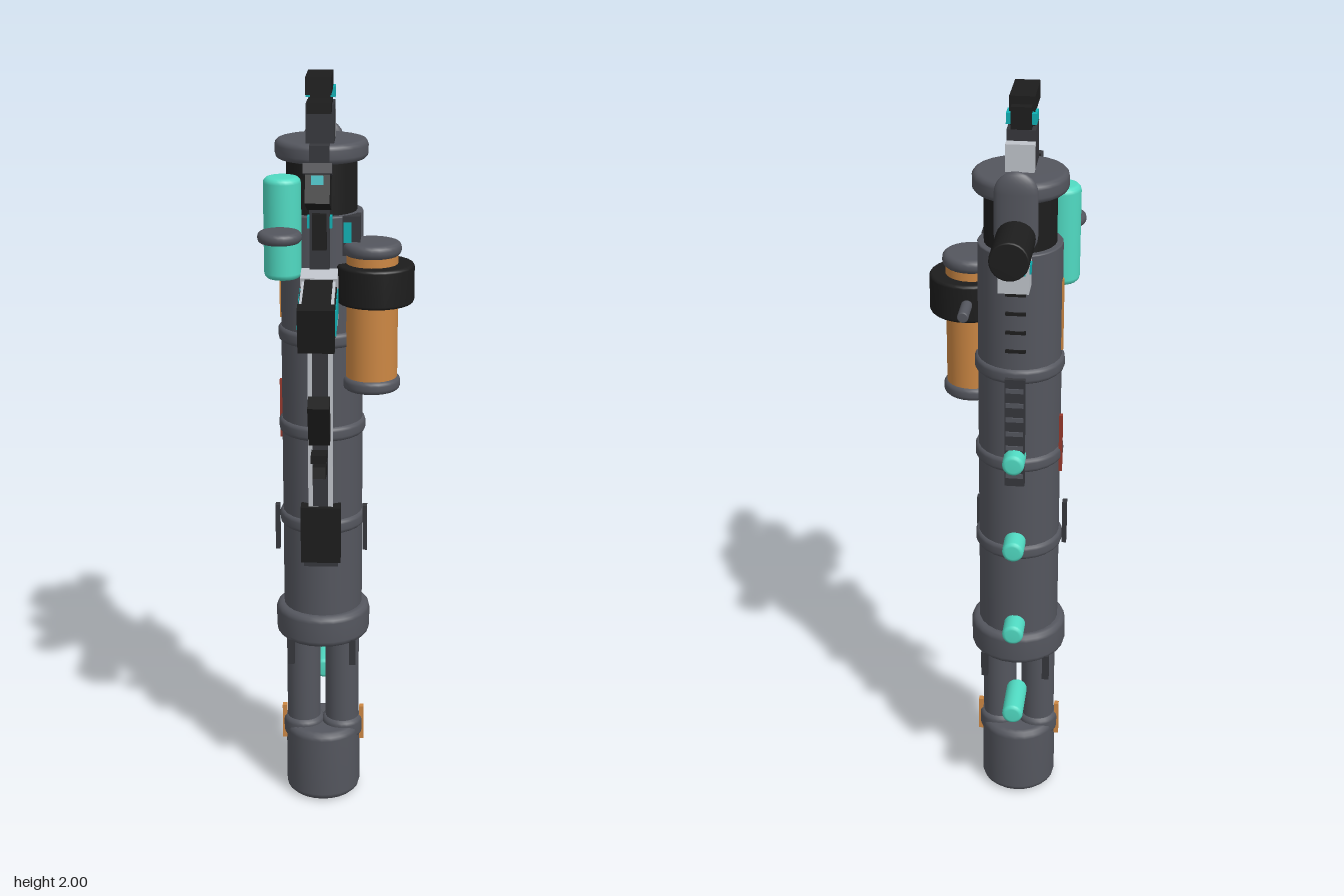
import * as THREE from 'three';

const mat = (name, color, side = THREE.FrontSide) => {
  const m = new THREE.MeshStandardMaterial({ color, side });
  m.name = name;
  return m;
};

export function createModel() {
  const grey = mat('steel grey', 0x54565e);
  const dark = mat('dark grey', 0x36373c);
  const black = mat('black', 0x1d1d1d);
  const light = mat('light grey', 0xbfc3ca);
  const teal = mat('teal', 0x50dac2);
  const cyan = mat('cyan', 0x0fb0b4);
  const orange = mat('orange', 0xcc8743);
  const red = mat('red', 0x96382c);

  const root = new THREE.Group();
  const CX = -0.048, CZ = -0.04; // axis of the main tube

  const add = (name, geo, m, x, y, z, rx = 0, parent = root) => {
    const mesh = new THREE.Mesh(geo, m);
    mesh.name = name;
    mesh.position.set(x, y, z);
    mesh.rotation.x = rx;
    parent.add(mesh);
    return mesh;
  };
  const box = (name, m, x, y, z, w, h, d, rx = 0, parent = root) =>
    add(name, new THREE.BoxGeometry(w, h, d), m, x, y, z, rx, parent);

  // Upright cylinder with rounded rims, from y0 to y1
  const drum = (name, m, x, z, r, y0, y1, bevel = 0.008, rx = 0) => {
    const h = (y1 - y0) / 2, pts = [new THREE.Vector2(0, -h)];
    for (const s of [-1, 1])
      for (let i = 0; i <= 3; i++) {
        const a = (s < 0 ? i : 3 - i) / 3 * Math.PI / 2;
        pts.push(new THREE.Vector2(r - bevel + bevel * Math.sin(a), s * (h - bevel + bevel * Math.cos(a))));
      }
    pts.push(new THREE.Vector2(0, h));
    return add(name, new THREE.LatheGeometry(pts, 24), m, x, (y0 + y1) / 2, z, rx);
  };
  // Rounded rod along z
  const rodZ = (name, m, x, y, r, z0, z1, bevel) => {
    const rod = drum(name, m, x, (z0 + z1) / 2, r, 0, z1 - z0, bevel, Math.PI / 2);
    rod.position.y = y;
    return rod;
  };

  // Main tube, neck and collars
  drum('mainTube', grey, CX, CZ, 0.106, 0.5, 1.65, 0.004);
  drum('neck', black, CX, CZ, 0.09, 1.62, 1.79, 0.004);
  drum('topCollar', grey, CX, CZ, 0.118, 1.78, 1.83, 0.015);
  drum('lowerCollar', grey, CX, CZ, 0.127, 0.475, 0.565, 0.018);
  for (const y of [0.82, 1.08, 1.33]) drum('tubeRing', grey, CX, CZ, 0.114, y - 0.02, y + 0.02, 0.012);

  // Studs under the lower collar
  for (const sx of [-1, 1]) for (const sz of [-1, 1])
    box('collarStud', dark, CX + sx * 0.083, 0.45, CZ + sz * 0.087, 0.018, 0.075, 0.018);

  // Twin barrels and muzzle cup
  for (const s of [-1, 1]) {
    const x = CX + s * 0.053;
    drum('barrel', grey, x, -0.02, 0.046, 0.15, 0.5, 0.004);
    drum('barrelCollar', grey, x, -0.02, 0.056, 0.165, 0.225, 0.015);
    box('muzzleClip', orange, CX + s * 0.107, 0.2, -0.02, 0.012, 0.1, 0.016);
  }
  drum('muzzleCup', grey, CX, -0.02, 0.102, 0, 0.207, 0.02);

  // Teal pegs down the back
  for (const y of [0.595, 0.853, 1.108]) rodZ('backPeg', teal, CX, y, 0.028, -0.205, -0.12, 0.01);
  rodZ('longPeg', teal, CX, 0.335, 0.028, -0.205, -0.07, 0.01);

  // Back panel with ribs, vents and side stripes
  box('backPanel', dark, CX, 1.18, -0.151, 0.05, 0.3, 0.026);
  for (let i = 0; i < 7; i++) box('panelRib', grey, CX, 1.06 + i * 0.04, -0.164, 0.044, 0.012, 0.006);
  for (let i = 0; i < 5; i++) box('backVent', black, CX, 1.4 + i * 0.05, -0.146, 0.05, 0.008, 0.008);
  box('redStripe', red, -0.157, 1.11, -0.065, 0.009, 0.16, 0.014);
  box('orangeStripe', orange, -0.153, 1.46, -0.045, 0.009, 0.19, 0.012);

  // Rear plate with cushion bar
  const plate = add('rearPlate', new THREE.CapsuleGeometry(0.053, 0.105, 6, 20), grey, CX, 1.755, -0.146);
  plate.scale.z = 0.36;
  rodZ('rearBar', black, CX, 1.698, 0.048, -0.305, -0.11, 0.004);
  box('rearBlock', light, CX, 1.622, -0.172, 0.075, 0.09, 0.064);
  for (const s of [-1, 1]) {
    box('blockLight', cyan, CX + s * 0.037, 1.635, -0.177, 0.008, 0.025, 0.025);
    box('blockRearLight', cyan, CX + s * 0.02, 1.635, -0.204, 0.018, 0.02, 0.008);
  }

  // Teal tank and grey disc on the side
  drum('sideTank', teal, -0.14, 0.079, 0.047, 1.5, 1.755, 0.015);
  drum('sideDisc', grey, -0.14, 0.183, 0.054, 1.613, 1.642, 0.012);

  // Orange canister with caps and black band
  const OX = 0.082, OZ = 0.034;
  drum('canister', orange, OX, OZ, 0.066, 1.22, 1.56, 0.004);
  drum('canisterFoot', grey, OX, OZ, 0.074, 1.2, 1.235, 0.012);
  drum('canisterCap', grey, OX, OZ, 0.074, 1.55, 1.585, 0.014);
  drum('canisterBand', black, OX + 0.008, OZ, 0.099, 1.43, 1.53, 0.008);
  rodZ('canisterRod', grey, 0.083, 1.48, 0.014, -0.14, -0.04, 0.003);
  box('canisterBracket', dark, 0.03, 1.6, 0.025, 0.045, 0.1, 0.05);
  box('bracketLight', cyan, 0.02, 1.61, 0.053, 0.02, 0.05, 0.008);

  // Front rail and foregrip block
  box('frontRail', light, CX, 1.13, 0.067, 0.064, 0.5, 0.034);
  box('railGroove', dark, CX, 1.13, 0.085, 0.04, 0.48, 0.006);
  box('foreBlock', black, CX, 0.81, 0.07, 0.104, 0.155, 0.052);
  box('foreBlockLip', dark, CX, 0.725, 0.065, 0.09, 0.02, 0.03);
  for (const s of [-1, 1]) box('sidePlate', dark, CX + s * 0.115, 0.815, 0.04, 0.012, 0.125, 0.022);
  box('receiver', dark, CX, 1.6, 0.06, 0.05, 0.46, 0.05);
  box('receiverBlock', black, CX, 1.62, 0.085, 0.036, 0.09, 0.03);
  for (const s of [-1, 1]) box('receiverLight', cyan, CX + s * 0.027, 1.64, 0.065, 0.008, 0.03, 0.025);

  // Grip and trigger pieces
  box('grip', black, CX, 1.145, 0.145, 0.055, 0.125, 0.048, 0.42);
  box('gripFoot', black, CX, 1.052, 0.155, 0.04, 0.022, 0.045);
  box('trigger', black, CX, 1.002, 0.125, 0.034, 0.03, 0.072, -0.2);

  // Tilted magazine with slots
  box('magazineWell', light, CX, 1.455, 0.095, 0.092, 0.13, 0.06, 0.2);
  const mag = new THREE.Group();
  mag.name = 'magazine';
  mag.position.set(CX, 1.44, 0.195);
  mag.rotation.x = 0.2;
  root.add(mag);
  box('magazineBody', light, 0, 0, -0.005, 0.084, 0.105, 0.16, 0, mag);
  box('magazineCap', black, 0, 0, 0.082, 0.09, 0.115, 0.036, 0, mag);
  for (const s of [-1, 1]) {
    box('magazineSpine', black, 0, s * 0.053, -0.005, 0.07, 0.008, 0.15, 0, mag);
    for (let i = 0; i < 5; i++) {
      box('slotFrame', black, s * 0.042, 0, -0.066 + i * 0.029, 0.006, 0.076, 0.02, -0.2, mag);
      box('slotLight', cyan, s * 0.044, 0, -0.066 + i * 0.029, 0.008, 0.064, 0.012, -0.2, mag);
    }
  }

  // Tilted front sight box
  const sight = new THREE.Group();
  sight.name = 'frontSight';
  sight.position.set(CX, 1.74, 0.135);
  sight.rotation.x = -0.35;
  root.add(sight);
  box('sightBody', black, 0, 0, -0.005, 0.06, 0.095, 0.105, 0, sight);
  box('sightHood', dark, 0, 0.035, 0.045, 0.07, 0.025, 0.03, 0, sight);
  box('sightLens', cyan, 0, 0.008, 0.048, 0.03, 0.022, 0.006, 0, sight);
  box('sightArm', dark, CX, 1.71, 0.07, 0.04, 0.07, 0.05);

  // Top sight on its post
  box('topPost', dark, CX, 1.875, 0.005, 0.07, 0.1, 0.085);
  box('topPostBack', light, CX, 1.863, -0.05, 0.07, 0.07, 0.03);
  box('topShelf', black, CX, 1.922, 0.045, 0.06, 0.026, 0.1);
  box('topNeck', black, CX, 1.95, -0.012, 0.05, 0.06, 0.05);
  box('topLight', cyan, CX, 1.95, -0.01, 0.074, 0.026, 0.045);
  box('topHood', black, CX, 1.979, 0.053, 0.062, 0.042, 0.136);

  return root;
}
